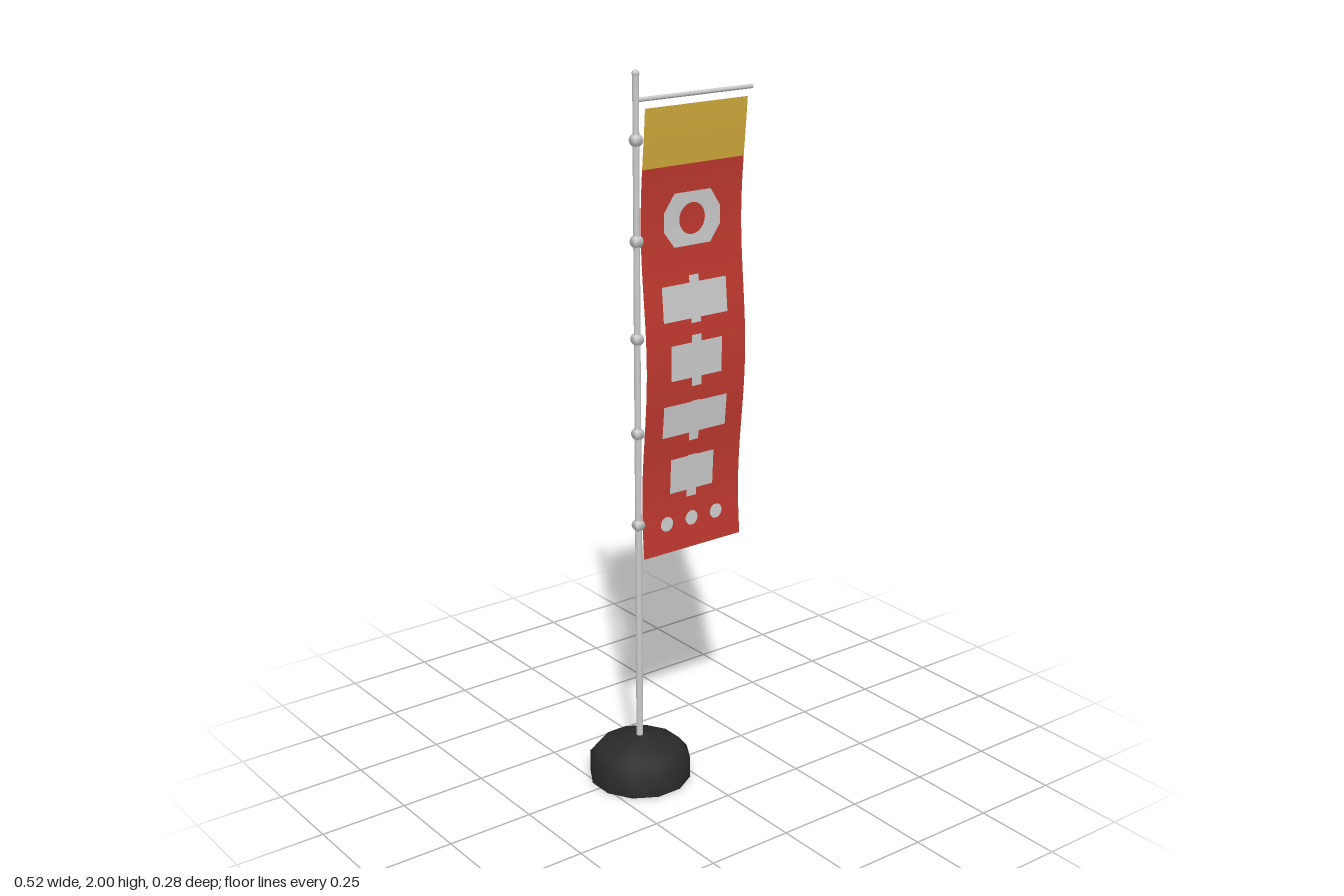
import * as THREE from 'three';

const POLE_X = -0.122, MID_X = 0.067;
const mat = (color, side = THREE.FrontSide) => new THREE.MeshStandardMaterial({ color, side });
const wave = (y) => 0.012 * Math.cos((2 * Math.PI * (y - 1.2)) / 0.78);

// Moves a flat geometry onto the rippling cloth
function drape(geo, offset = 0) {
  const p = geo.attributes.position;
  for (let i = 0; i < p.count; i++) p.setZ(i, wave(p.getY(i)) + offset);
  geo.computeVertexNormals();
  return geo;
}

export function createModel() {
  const group = new THREE.Group();
  const steel = mat(0xcccccc), rubber = mat(0x2a2a2a);
  const red = mat(0xc0392f, THREE.DoubleSide), yellow = mat(0xd4ad3c, THREE.DoubleSide);
  const print = mat(0xcccccc, THREE.DoubleSide);

  const add = (name, geo, material, x = 0, y = 0, z = 0) => {
    const mesh = new THREE.Mesh(geo, material);
    mesh.name = name;
    mesh.position.set(x, y, z);
    group.add(mesh);
    return mesh;
  };

  // Weighted twelve-sided base
  const profile = [[0.144, 0], [0.144, 0.062], [0.119, 0.092], [0.035, 0.118], [0.015, 0.126], [0, 0.126]]
    .map(([r, y]) => new THREE.Vector2(r, y));
  add('base', new THREE.LatheGeometry(profile, 12).rotateY(Math.PI / 12), rubber, POLE_X);
  add('baseUnderside', new THREE.CircleGeometry(0.144, 12).rotateX(Math.PI / 2).rotateY(Math.PI / 12), rubber, POLE_X);

  // Pole, rounded tip and crossbar
  add('pole', new THREE.CylinderGeometry(0.009, 0.01, 1.87, 10), steel, POLE_X, 1.055);
  add('poleTip', new THREE.SphereGeometry(0.01, 10, 8), steel, POLE_X, 1.99);
  add('crossbar', new THREE.CylinderGeometry(0.006, 0.006, 0.382, 8).rotateZ(Math.PI / 2), steel, POLE_X + 0.191, 1.923);

  // Clips holding the cloth to the pole
  for (let i = 0; i < 5; i++) {
    add('clip', new THREE.SphereGeometry(0.019, 4, 6).rotateY(Math.PI / 4), steel, POLE_X, 0.765 + i * 0.264);
  }

  // Cloth in two colours
  const cloth = (name, y0, y1, rows, material) =>
    add(name, drape(new THREE.PlaneGeometry(0.337, y1 - y0, 4, rows).translate(0.0685, (y0 + y1) / 2, 0)), material);
  cloth('banner', 0.655, 1.74, 28, red);
  cloth('bannerHeader', 1.74, 1.9, 5, yellow);

  // Printed shapes lying just in front of the cloth
  const decorate = (name, shape) => add(name, drape(new THREE.ShapeGeometry(shape, 12), 0.003), print);
  const polygon = (pts) => new THREE.Shape(pts.map(([x, y]) => new THREE.Vector2(MID_X + x, y)));

  const ring = polygon([[-0.06, 1.52], [0.06, 1.52], [0.094, 1.565], [0.094, 1.615],
    [0.06, 1.665], [-0.06, 1.665], [-0.094, 1.615], [-0.094, 1.565]]);
  ring.holes.push(new THREE.Path().absarc(MID_X, 1.592, 0.043, 0, Math.PI * 2, true));
  decorate('ringMark', ring);

  // Blocks: half width, bottom, top, lower tab end, upper tab end
  for (const [w, b, t, tb, tt] of [
    [0.108, 1.323, 1.42, 1.31, 1.44],
    [0.086, 1.158, 1.257, 1.133, 1.277],
    [0.108, 0.997, 1.088, 0.973, 1.09],
    [0.074, 0.826, 0.927, 0.805, 0.929],
  ]) {
    const k = 0.016;
    decorate('blockMark', polygon([[-w, b], [-k, b], [-k, tb], [k, tb], [k, b], [w, b],
      [w, t], [k, t], [k, tt], [-k, tt], [-k, t], [-w, t]]));
  }

  // Row of dots
  for (const dx of [-0.086, 0, 0.086]) {
    decorate('dotMark', new THREE.Shape().absarc(MID_X + dx, 0.74, 0.021, 0, Math.PI * 2));
  }
  return group;
}
